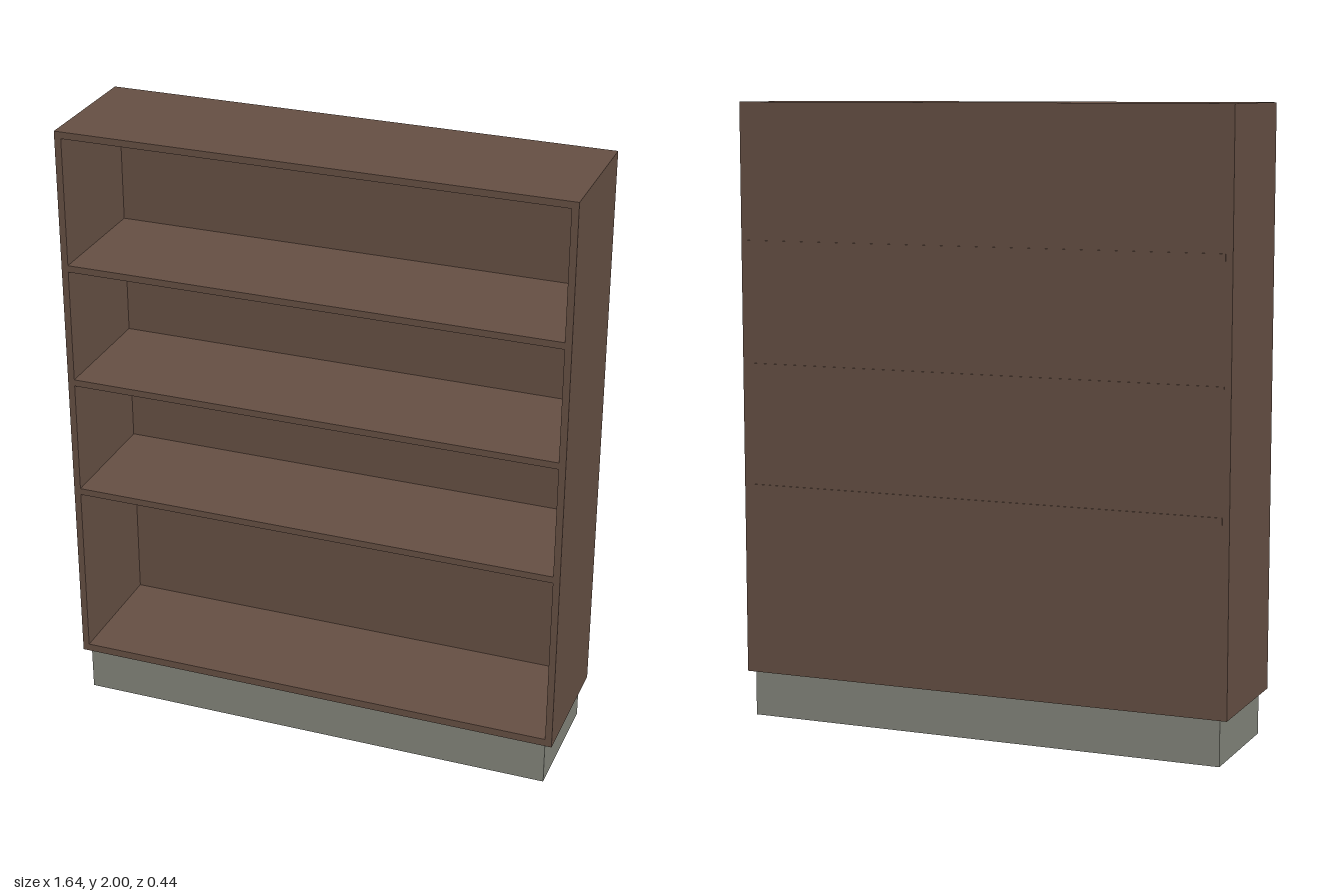
import * as THREE from 'three';

export function createModel() {
  const group = new THREE.Group();
  const wood = new THREE.MeshStandardMaterial({ color: 0x654f43 });
  wood.name = 'brown wood';
  const plinthGrey = new THREE.MeshStandardMaterial({ color: 0x82847a });
  plinthGrey.name = 'plinth grey';

  // Box given by its lower and upper corners
  function box(name, material, [x0, y0, z0], [x1, y1, z1]) {
    const mesh = new THREE.Mesh(new THREE.BoxGeometry(x1 - x0, y1 - y0, z1 - z0), material);
    mesh.position.set((x0 + x1) / 2, (y0 + y1) / 2, (z0 + z1) / 2);
    mesh.name = name;
    group.add(mesh);
  }

  const W = 0.82, T = 0.022, BASE = 0.147, TOP = 2;
  const FRONT = 0.218, BACK = -0.215, inner = W - T;

  // Recessed plinth
  box('plinth', plinthGrey, [-0.795, 0, -0.205], [0.795, BASE, 0.205]);

  // Carcass: sides, top, bottom and back
  box('leftSide', wood, [inner, BASE, BACK], [W, TOP, FRONT]);
  box('rightSide', wood, [-W, BASE, BACK], [-inner, TOP, FRONT]);
  box('topBoard', wood, [-inner, TOP - T, BACK], [inner, TOP, FRONT]);
  box('bottomBoard', wood, [-inner, BASE, BACK], [inner, 0.172, FRONT]);
  box('backPanel', wood, [-inner, 0.172, BACK], [inner, TOP - T, BACK + 0.02]);

  // Shelves, their rear edges just showing through the back
  for (const y of [0.76, 1.155, 1.55]) {
    box('shelf', wood, [-inner, y - 0.011, BACK - 0.003], [inner, y + 0.011, FRONT]);
  }

  return group;
}
